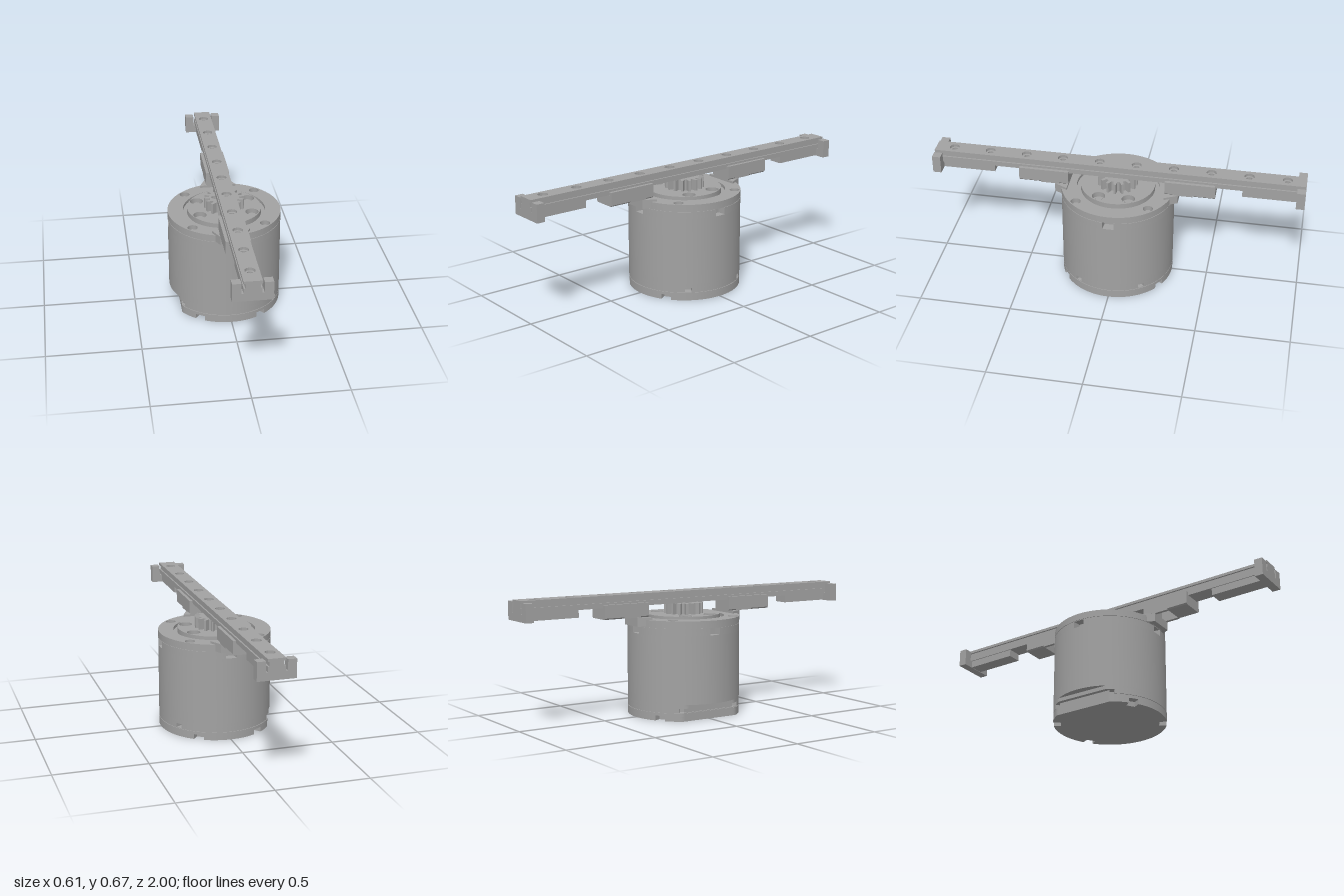
import * as THREE from 'three';
import { toCreasedNormals } from 'three/addons/utils/BufferGeometryUtils.js';

const grey = new THREE.MeshStandardMaterial({ color: 0xa2a2a2 });
grey.name = 'machined grey';

export function createModel() {
  const root = new THREE.Group();
  const add = (name, geo, x = 0, y = 0, z = 0, parent = root) => {
    const m = new THREE.Mesh(geo, grey);
    m.name = name;
    m.position.set(x, y, z);
    parent.add(m);
    return m;
  };
  const box = (name, x, y0, y1, z0, z1, w, parent) =>
    add(name, new THREE.BoxGeometry(w, y1 - y0, z1 - z0), x, (y0 + y1) / 2, (z0 + z1) / 2, parent);
  const extrude = (shape, depth) => toCreasedNormals(
    new THREE.ExtrudeGeometry(shape, { depth, bevelEnabled: false, curveSegments: 48 }), 0.5);
  // Plan shape raised from y0 to y1
  const layer = (name, shape, y0, y1) =>
    add(name, extrude(shape, y1 - y0).rotateX(-Math.PI / 2), 0, y0);
  const poly = (pts) => new THREE.Shape(pts.map(([x, y]) => new THREE.Vector2(x, y)));
  const hole = (shape, x, y, r, sides = 16) => {
    const pts = [];
    for (let i = 0; i < sides; i++) {
      const a = -i / sides * Math.PI * 2;
      pts.push(new THREE.Vector2(x + r * Math.cos(a), y + r * Math.sin(a)));
    }
    shape.holes.push(new THREE.Path(pts));
  };

  // Round plan with optional flat on the -x side and rim pockets
  const R = 0.305;
  const plan = (r, cut = -1, pockets = [], half = 0, deep = 0) => {
    const pts = [], n = 120;
    const angles = [];
    for (let i = 0; i < n; i++) {
      const a = i / n * Math.PI * 2;
      if (!pockets.some((p) => Math.abs(Math.atan2(Math.sin(a - p), Math.cos(a - p))) <= half + 0.005)) angles.push([a, r]);
    }
    for (const p of pockets) {
      const q = (p + Math.PI * 2) % (Math.PI * 2);
      angles.push([q - half, r], [q - half + 1e-4, r - deep], [q + half - 1e-4, r - deep], [q + half, r]);
    }
    angles.sort((a, b) => a[0] - b[0]);
    for (const [a, rr] of angles) pts.push([Math.max(cut, rr * Math.cos(a)), rr * Math.sin(a)]);
    return poly(pts);
  };
  const mirror4 = (a) => [a, Math.PI - a, Math.PI + a, -a];

  // Motor housing, stacked from the base up
  layer('baseNotched', plan(R, -0.253, mirror4(1.0), 0.09, 0.04), 0, 0.027);
  layer('basePlate', plan(R, -0.253), 0.027, 0.043);
  layer('baseSeam', plan(R - 0.004, -0.25), 0.043, 0.046);
  layer('housingWindows', plan(R, -0.243, mirror4(0.6), 0.06, 0.04), 0.046, 0.07);
  layer('housingStep', plan(R, -0.265), 0.07, 0.09);
  layer('housing', plan(R), 0.09, 0.455);
  layer('housingPockets', plan(R, -1, [0, Math.PI / 2, Math.PI, -Math.PI / 2], 0.1, 0.045), 0.455, 0.493);
  layer('lidSeam', plan(R - 0.003), 0.493, 0.496);

  // Lid ring, groove floor and raised centre disc with screw holes
  const ring = plan(R);
  hole(ring, 0, 0, 0.222, 72);
  const disc = plan(0.2);
  for (const sx of [-1, 1]) for (const sz of [-1, 1]) {
    hole(ring, sx * 0.193, sz * 0.193, 0.027);
    hole(disc, sx * 0.14, sz * 0.08, 0.036);
    add('lidScrew', new THREE.CylinderGeometry(0.017, 0.017, 0.02, 6), sx * 0.193, 0.505, sz * 0.193);
    add('discScrew', new THREE.CylinderGeometry(0.02, 0.02, 0.015, 6), sx * 0.14, 0.522, sz * 0.08);
  }
  layer('lidRing', ring, 0.496, 0.533);
  layer('grooveFloor', plan(0.224), 0.496, 0.516);
  layer('centreDisc', disc, 0.516, 0.545);

  // Pinion gear
  const teeth = 16, gearPts = [];
  for (let i = 0; i < teeth; i++) {
    for (const [f, r] of [[-0.3, 0.08], [-0.15, 0.107], [0.15, 0.107], [0.3, 0.08]]) {
      const a = (i + f) / teeth * Math.PI * 2;
      gearPts.push([r * Math.cos(a), r * Math.sin(a)]);
    }
  }
  const gear = poly(gearPts);
  hole(gear, -0.05, 0, 0.018);
  layer('pinionGear', gear, 0.543, 0.604);

  // Rail: grooved bar with counterbored holes
  const strip = (w, r) => {
    const s = poly([[-w, -1], [w, -1], [w, 1], [-w, 1]]);
    for (let i = 0; i < 10; i++) hole(s, 0, -0.9 + i * 0.2, r, 12);
    return s;
  };
  box('railFoot', 0, 0.605, 0.632, -1, 1, 0.09);
  layer('railWaist', strip(0.037, 0.016), 0.632, 0.655);
  layer('railHead', strip(0.046, 0.027), 0.655, 0.67);

  // Parts repeated at each end of the rail
  const capShape = poly([[-0.1, 0.563], [0.1, 0.563], [0.1, 0.66], [0.055, 0.66], [0.055, 0.605],
    [-0.055, 0.605], [-0.055, 0.66], [-0.1, 0.66]]);
  const cradle = poly([[-0.058, 0.545], [0.058, 0.545], [0.065, 0.552], [0.065, 0.622], [0.048, 0.622],
    [0.048, 0.605], [-0.048, 0.605], [-0.048, 0.622], [-0.065, 0.622], [-0.065, 0.552]]);
  const tab = poly([[-0.1, -0.262], [-0.065, -0.333], [0.065, -0.333], [0.1, -0.262]]);
  for (const front of [true, false]) {
    const end = new THREE.Group();
    end.name = front ? 'frontEnd' : 'backEnd';
    end.rotation.y = front ? 0 : Math.PI;
    root.add(end);
    add('endCap', extrude(capShape, 0.045), 0, 0, 0.955, end);
    box('endStop', 0, 0.565, 0.605, 0.67, 0.955, 0.08, end);
    add('carriageOuter', extrude(cradle, 0.12), 0, 0, 0.41, end);
    add('carriageInner', extrude(cradle, 0.05), 0, 0, 0.26, end);
    for (const s of [-1, 1]) box('carriageWall', s * 0.0565, 0.545, 0.622, 0.31, 0.41, 0.017, end);
    add('mountTab', extrude(tab, 0.048).rotateX(-Math.PI / 2), 0, 0.497, 0, end);
  }
  return root;
}
